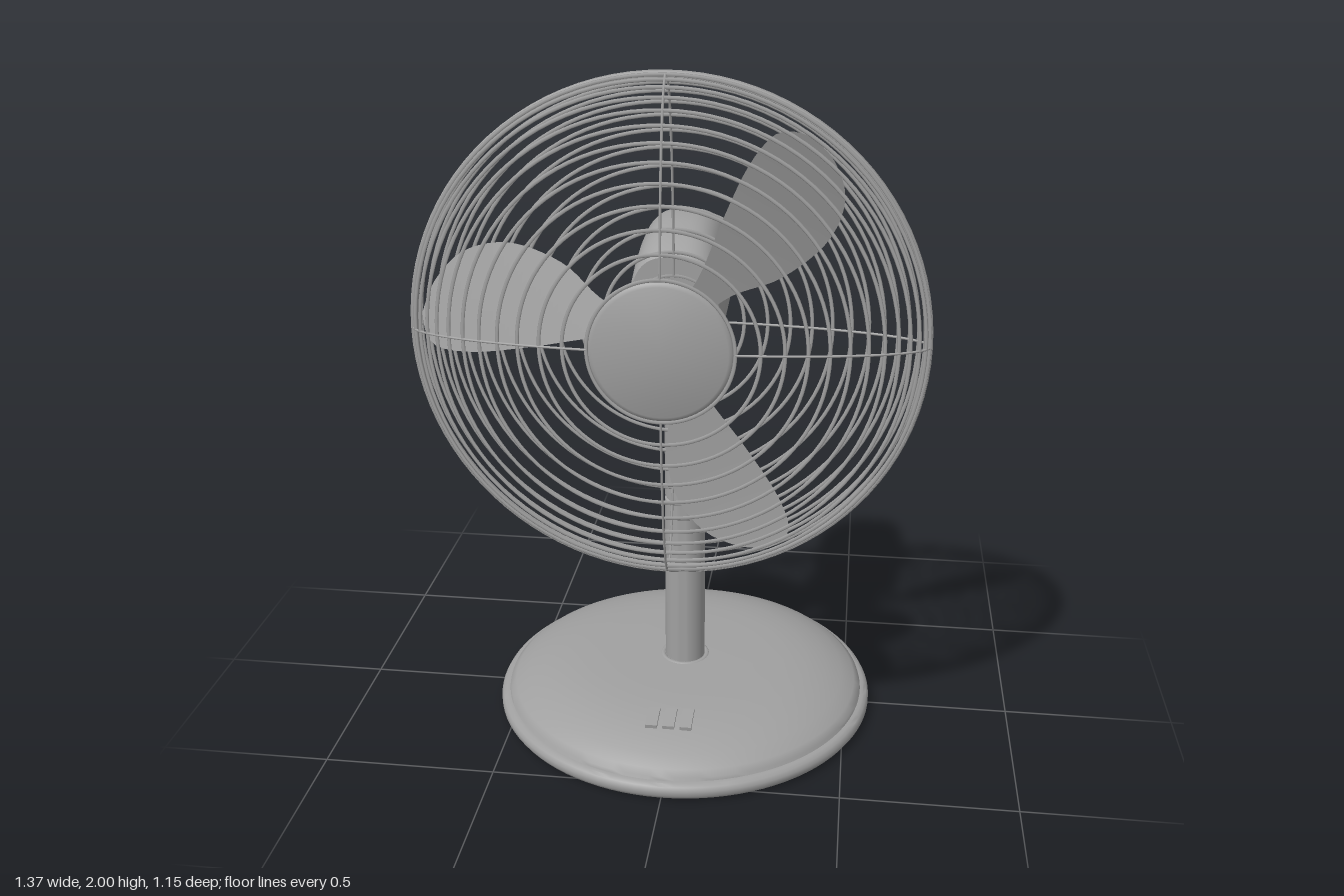
import * as THREE from 'three';
import { toCreasedNormals } from 'three/addons/utils/BufferGeometryUtils.js';

const mat = new THREE.MeshStandardMaterial({ color: 0xa0a0a0 });
const thinMat = new THREE.MeshStandardMaterial({ color: 0xa0a0a0, side: THREE.DoubleSide });
const HEAD_Y = 1.315, CAGE_Z = 0.385, CAGE_R = 0.68, CAGE_D = 0.138;

function add(parent, name, geometry, material = mat) {
  const mesh = new THREE.Mesh(geometry, material);
  mesh.name = name;
  parent.add(mesh);
  return mesh;
}

// Turned part: profile of [radius, height], bottom to top
function lathe(points, segments = 64) {
  const g = new THREE.LatheGeometry(points.map(p => new THREE.Vector2(...p)), segments);
  return toCreasedNormals(g, 0.6);
}
// Turned part whose axis runs along z
const latheZ = (points, segments) => lathe(points, segments).rotateX(Math.PI / 2);

// Grid of points to an indexed surface
function gridGeometry(rows) {
  const n = rows[0].length, index = [];
  for (let j = 0; j < rows.length - 1; j++) {
    for (let i = 0; i < n - 1; i++) {
      const a = j * n + i, c = a + n;
      index.push(a, c, a + 1, a + 1, c, c + 1);
    }
  }
  const g = new THREE.BufferGeometry();
  g.setAttribute('position', new THREE.Float32BufferAttribute(rows.flat(2), 3));
  g.setIndex(index);
  g.computeVertexNormals();
  return g;
}

// Motor housing: rounded sections lofted from front to back
function housingGeometry() {
  // z, top, bottom, half width, hollow of the back face
  const sections = [
    [0.25, 1.315, 1.315, 0, 0], [0.25, 1.49, 1.14, 0.12, 0], [0.243, 1.496, 1.138, 0.124, 0],
    [0.17, 1.53, 1.14, 0.125, 0], [0.09, 1.549, 1.147, 0.125, 0], [0, 1.555, 1.16, 0.125, 0],
    [-0.08, 1.545, 1.178, 0.125, 0], [-0.15, 1.52, 1.198, 0.125, 0.002], [-0.2, 1.493, 1.215, 0.124, 0.006],
    [-0.225, 1.479, 1.224, 0.118, 0.012], [-0.236, 1.468, 1.23, 0.106, 0.016], [-0.239, 1.45, 1.245, 0.09, 0.018],
    [-0.24, 1.4, 1.295, 0.045, 0.018], [-0.24, 1.348, 1.348, 0, 0.018],
  ];
  const N = 64, e = 2 / 2.9;
  const power = v => Math.sign(v) * Math.abs(v) ** e;
  const rows = sections.map(([z, top, bottom, w, dish]) => Array.from({ length: N + 1 }, (_, i) => {
    const a = i / N * Math.PI * 2;
    const y = (top + bottom) / 2 + power(Math.sin(a)) * (top - bottom) / 2;
    return [w * power(Math.cos(a)), y, z + dish * Math.max(0, 1 - ((y - 1.348) / 0.12) ** 2)];
  }));
  return toCreasedNormals(gridGeometry(rows), 0.8);
}

// Blade: surface between two edge curves, pitched and swept in z
function bladeGeometry() {
  const curve = pts => new THREE.SplineCurve(pts.map(p => new THREE.Vector2(...p))).getSpacedPoints(28);
  const low = curve([[0.03, -0.03], [0.17, -0.01], [0.35, -0.035], [0.5, -0.05], [0.6, -0.038], [0.635, 0], [0.645, 0.05]]);
  const high = curve([[0.03, 0.03], [0.17, 0.085], [0.28, 0.175], [0.42, 0.225], [0.54, 0.205], [0.615, 0.13], [0.645, 0.05]]);
  const rows = low.map((p, k) => Array.from({ length: 9 }, (_, i) => {
    const q = p.clone().lerp(high[k], i / 8);
    return [q.x, -q.y, -0.3 * q.y + 0.045 * (q.x / 0.65) ** 2];
  }));
  return gridGeometry(rows);
}

// One half of the cage: flat rings and four spokes on a shallow dome
function cageHalf(name, side, ringCount) {
  const half = new THREE.Group();
  half.name = name;
  const step = 0.099;
  const at = k => [CAGE_R * Math.cos(k * step), side * CAGE_D * Math.sin(k * step)];
  for (let k = 1; k <= ringCount; k++) {
    const [r, z] = at(k);
    const ring = new THREE.TorusGeometry(r, 0.005, 6, 96).scale(1, 1, 0.4);
    add(half, 'guardRing', ring).position.z = z;
  }
  const path = Array.from({ length: ringCount + 1 }, (_, k) => {
    const [r, z] = at(k);
    return new THREE.Vector3(r, 0, z);
  });
  const spoke = new THREE.TubeGeometry(new THREE.CatmullRomCurve3(path), 32, 0.0035, 6);
  for (let i = 0; i < 4; i++) add(half, 'guardSpoke', spoke).rotation.z = i * Math.PI / 2;
  return half;
}

export function createModel() {
  const model = new THREE.Group();
  model.name = 'deskFan';

  // Round base: rolled rim, then a step up to the domed top
  add(model, 'base', lathe([
    [0, 0], [0.555, 0], [0.568, 0.006], [0.576, 0.018], [0.576, 0.032], [0.57, 0.043], [0.56, 0.049], [0.55, 0.05],
    [0.547, 0.06], [0.53, 0.075], [0.49, 0.096], [0.44, 0.115], [0.38, 0.129], [0.31, 0.137], [0.22, 0.14], [0, 0.14],
  ], 96));

  // Control buttons on the front of the base
  for (const x of [-0.05, 0, 0.05]) {
    const button = add(model, 'button', new THREE.BoxGeometry(0.034, 0.018, 0.08));
    button.position.set(x, 0.13, 0.365);
    button.rotation.x = 0.13;
  }

  // Two-part pole with a groove and a foot collar
  const collar = add(model, 'poleCollar', new THREE.TorusGeometry(0.068, 0.009, 10, 48));
  collar.rotation.x = Math.PI / 2;
  collar.position.y = 0.134;
  add(model, 'pole', lathe([
    [0.061, 0.13], [0.061, 0.676], [0.056, 0.679], [0.056, 0.685], [0.061, 0.688], [0.061, 1.22],
  ], 40));

  add(model, 'motorHousing', housingGeometry());

  // Fan head, centred on the cage
  const head = new THREE.Group();
  head.name = 'fanHead';
  head.position.set(0, HEAD_Y, CAGE_Z);
  model.add(head);

  add(head, 'shaft', latheZ([[0.024, -0.14], [0.024, 0], [0, 0]], 24));
  add(head, 'bladeHub', latheZ([
    [0, -0.02], [0.06, -0.02], [0.06, 0.015], [0.052, 0.03], [0.035, 0.038], [0, 0.04],
  ], 32));

  const blade = bladeGeometry();
  for (let i = 0; i < 3; i++) {
    add(head, 'blade', blade, thinMat).rotation.z = Math.PI / 3 + i * Math.PI * 2 / 3;
  }

  // Protective cage; the rear half reaches one ring further in
  head.add(cageHalf('frontGuard', 1, 13), cageHalf('rearGuard', -1, 14));
  add(head, 'guardRim', latheZ([
    [0.67, -0.014], [0.682, -0.014], [0.685, -0.01], [0.685, 0.01], [0.682, 0.014], [0.67, 0.014], [0.67, -0.014],
  ], 96));
  add(head, 'frontCap', latheZ([
    [0, 0.116], [0.183, 0.116], [0.187, 0.12], [0.187, 0.13], [0.183, 0.136], [0.174, 0.14], [0, 0.14],
  ], 64));

  return model;
}
